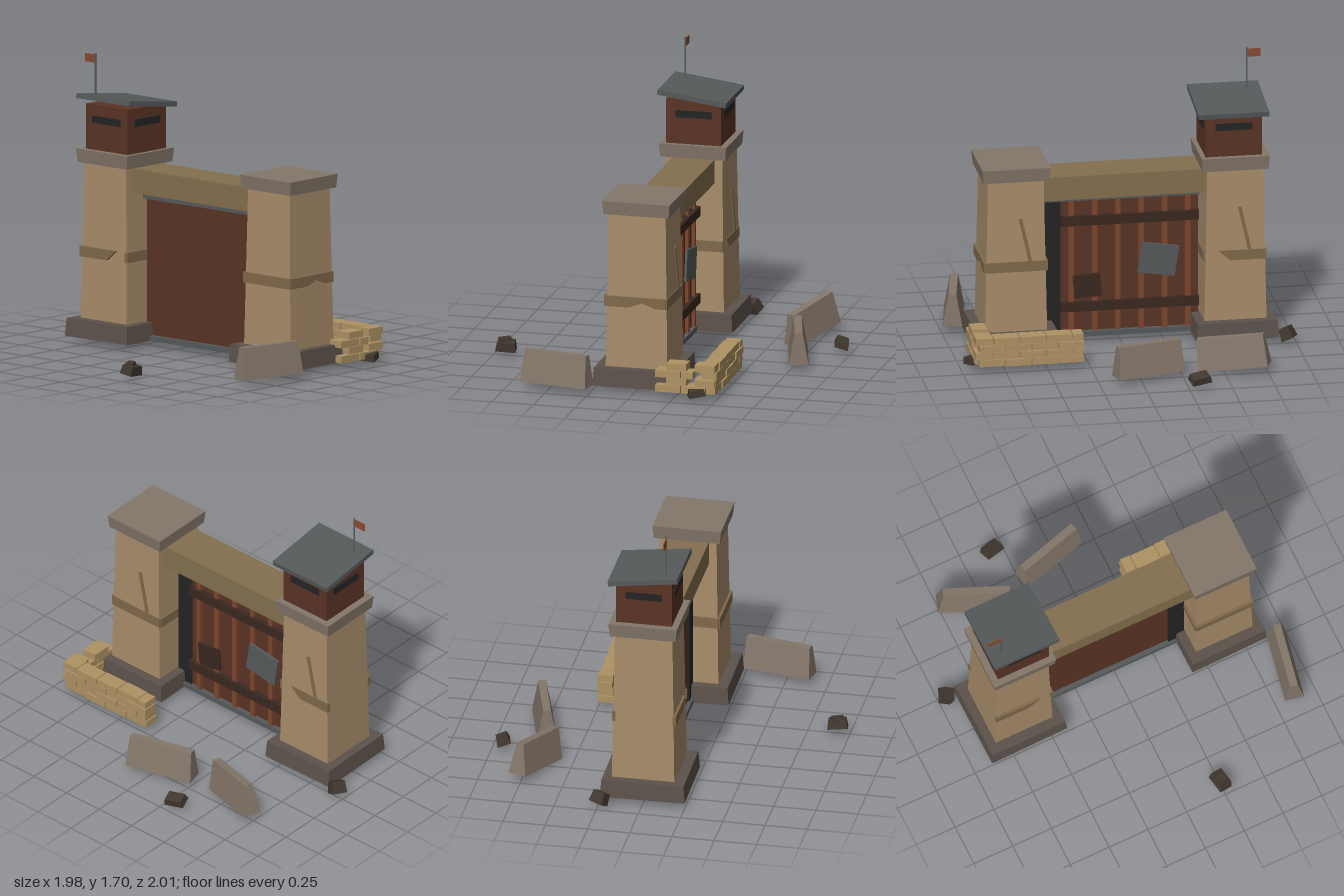
import * as THREE from 'three';

const mat = (color) => new THREE.MeshStandardMaterial({ color, flatShading: true, side: THREE.DoubleSide });
const M = {
  tan: mat(0xa88c6a), lintel: mat(0x84704f), trim: mat(0x80694b), cap: mat(0x84766a), base: mat(0x5c524b),
  cabin: mat(0x5a3425), rib: mat(0x7c462d), band: mat(0x3a2820), metal: mat(0x565a5a),
  black: mat(0x242424), brick: mat(0xae9264), rock: mat(0x40382f), flag: mat(0x8a4a30),
};

// Box centred at (x, y, z) whose top may be scaled to (tx, tz)
function box(name, material, [w, h, d], [x, y, z], [rx, ry, rz] = [0, 0, 0], tx = 1, tz = 1) {
  const g = new THREE.BoxGeometry(w, h, d);
  const p = g.attributes.position;
  for (let i = 0; i < p.count; i++) {
    if (p.getY(i) > 0) p.setXYZ(i, p.getX(i) * tx, p.getY(i), p.getZ(i) * tz);
  }
  g.computeVertexNormals();
  const m = new THREE.Mesh(g, material);
  m.name = name;
  m.position.set(x, y, z);
  m.rotation.set(rx, ry, rz);
  return m;
}

// Thin chipped strip laid on one side of a tower; points are (across, y)
function strip(points, angle, out) {
  const g = new THREE.ExtrudeGeometry(new THREE.Shape(points.map(([a, b]) => new THREE.Vector2(a, b))),
    { depth: 0.02, bevelEnabled: false });
  g.translate(0, 0, out - 0.012);
  g.rotateY(angle);
  const m = new THREE.Mesh(g, M.trim);
  m.name = 'chippedBand';
  return m;
}

const FULL = [[-0.182, 0.507], [0.182, 0.507], [0.182, 0.568], [-0.182, 0.568]];
const NOTCH = [[-0.182, 0.507], [-0.04, 0.507], [0, 0.522], [0.04, 0.537], [0.12, 0.507], [0.182, 0.507],
  [0.182, 0.568], [-0.182, 0.568]];
const PART = [[-0.03, 0.507], [0.182, 0.507], [0.182, 0.568], [-0.1, 0.568]];

function tower(name, z, bands) {
  const t = new THREE.Group();
  t.name = name;
  t.position.z = z;
  t.add(
    box('plinth', M.base, [0.5, 0.105, 0.485], [0.002, 0.092, 0], [0, 0.015, 0], 0.97, 0.97),
    box('shaft', M.tan, [0.37, 0.925, 0.365], [0.005, 0.6, 0], [0, 0, 0], 0.92, 0.9),
    box('capstone', M.cap, [0.39, 0.08, 0.385], [0.005, 1.1, 0], [0, 0, 0], 1.04, 1.04),
    box('crack', M.trim, [0.016, 0.265, 0.02], [0.18, 0.7, -0.055], [0.22, 0, 0.015]),
  );
  // sides in order: +z, +x, -z, -x
  bands.forEach((pts, i) => pts && t.add(strip(pts, i * Math.PI / 2, 0.181)));
  return t;
}

function watchCabin() {
  const c = new THREE.Group();
  c.name = 'watchCabin';
  c.position.set(0.005, 0, -0.645);
  c.add(box('cabinWalls', M.cabin, [0.33, 0.27, 0.33], [0, 1.27, 0]));
  c.add(box('roof', M.metal, [0.415, 0.03, 0.415], [0, 1.426, 0.005], [0, 0, -0.13]));
  // viewing slits on every side
  for (let i = 0; i < 4; i++) {
    const a = i * Math.PI / 2;
    c.add(box('viewingSlit', M.black, [0.215, 0.042, 0.014], [Math.sin(a) * 0.165, 1.32, Math.cos(a) * 0.165], [0, a, 0]));
  }
  const pole = new THREE.Mesh(new THREE.CylinderGeometry(0.005, 0.005, 0.27, 6), M.metal);
  pole.name = 'flagPole';
  pole.position.set(-0.125, 1.565, -0.125);
  c.add(pole, box('flag', M.flag, [0.005, 0.048, 0.08], [-0.125, 1.668, -0.165]));
  return c;
}

function gate() {
  const g = new THREE.Group();
  g.name = 'gate';
  g.add(
    box('gatePanel', M.cabin, [0.035, 0.81, 0.81], [0, 0.47, -0.055]),
    box('topRail', M.metal, [0.09, 0.035, 0.93], [0, 0.89, 0]),
    box('bottomRail', M.metal, [0.09, 0.03, 0.93], [0, 0.055, 0]),
    box('gatePost', M.black, [0.06, 0.81, 0.1], [0, 0.47, 0.4]),
    box('steelPatch', M.metal, [0.014, 0.185, 0.22], [0.056, 0.495, -0.22], [-0.15, 0, 0]),
    box('darkPatch', M.band, [0.014, 0.14, 0.16], [0.046, 0.35, 0.195], [0.09, 0, 0]),
  );
  for (let i = 0; i < 6; i++) {
    g.add(box('gateRib', M.rib, [0.025, 0.8, 0.032], [0.026, 0.47, 0.288 - i * 0.137]));
  }
  for (const y of [0.225, 0.75]) g.add(box('crossBand', M.band, [0.03, 0.058, 0.81], [0.038, y, -0.055]));
  return g;
}

// L-shaped broken brick wall with staggered courses
function brickWall() {
  const w = new THREE.Group();
  w.name = 'brickWall';
  const h = 0.044;
  for (let row = 0; row < 4; row++) {
    const y = 0.04 + h * (row + 0.5);
    const odd = row % 2;
    // long leg along z
    for (let i = 0; i < 4; i++) {
      const z0 = 0.29 + i * 0.155 + (odd ? 0.07 : 0);
      const z1 = Math.min(z0 + 0.15, 0.91);
      const nudge = 0.004 * ((i + row) % 3 - 1);
      w.add(box('brick', M.brick, [0.09, h - 0.003, z1 - z0], [0.457 + nudge, y, (z0 + z1) / 2]));
    }
    if (odd) w.add(box('halfBrick', M.brick, [0.09, h - 0.003, 0.06], [0.457, y, 0.325]));
    // short leg along x, with gaps
    const spans = odd ? [[0.21, 0.33], [0.38, 0.5]] : [[0.145, 0.295], [0.3, 0.445]];
    spans.forEach(([a, b], i) => {
      if (row === 2 && i === 1) b = 0.37;
      w.add(box('brick', M.brick, [b - a, h - 0.003, 0.092], [(a + b) / 2, y, 0.88 + 0.004 * (i - odd)]));
    });
  }
  return w;
}

export function createModel() {
  const model = new THREE.Group();
  model.name = 'ruinedGatehouse';

  model.add(
    tower('frontTower', 0.638, [NOTCH, FULL, FULL, FULL]),
    tower('backTower', -0.652, [FULL, PART, null, PART.map(([a, b]) => [-a, b]).reverse()]),
    watchCabin(),
    gate(),
    box('lintel', M.lintel, [0.25, 0.142, 1.0], [0.005, 0.983, 0], [0.004, 0, 0]),
    brickWall(),
  );

  // Concrete barriers: position, rotation
  const barriers = [
    [[-0.452, 0.137, 0.9], [0, -0.19, 0]],
    [[0.693, 0.125, -0.55], [0, 1.22, 0.14]],
    [[0.747, 0.132, -0.047], [0, -1.3, 0]],
  ];
  for (const [p, r] of barriers) {
    model.add(box('barrier', M.cap, [0.415, 0.188, 0.115], p, r, 0.95, 0.4));
  }

  // Scattered rubble: size, position, rotation
  const rubble = [
    [[0.12, 0.055, 0.08], [-0.925, 0.065, 0.255], [0.2, 0.15, -0.1]],
    [[0.08, 0.03, 0.05], [-0.93, 0.095, 0.25], [0.1, 0.5, 0]],
    [[0.09, 0.07, 0.075], [0.237, 0.06, -0.948], [0.5, -0.35, 0.3]],
    [[0.08, 0.04, 0.12], [0.94, 0.058, -0.318], [0.1, 0.25, -0.35]],
    [[0.1, 0.04, 0.08], [0.39, 0.055, 0.925], [0.1, 0.45, 0.1]],
  ];
  for (const [s, p, r] of rubble) model.add(box('rubble', M.rock, s, p, r, 0.85, 0.85));

  return model;
}
